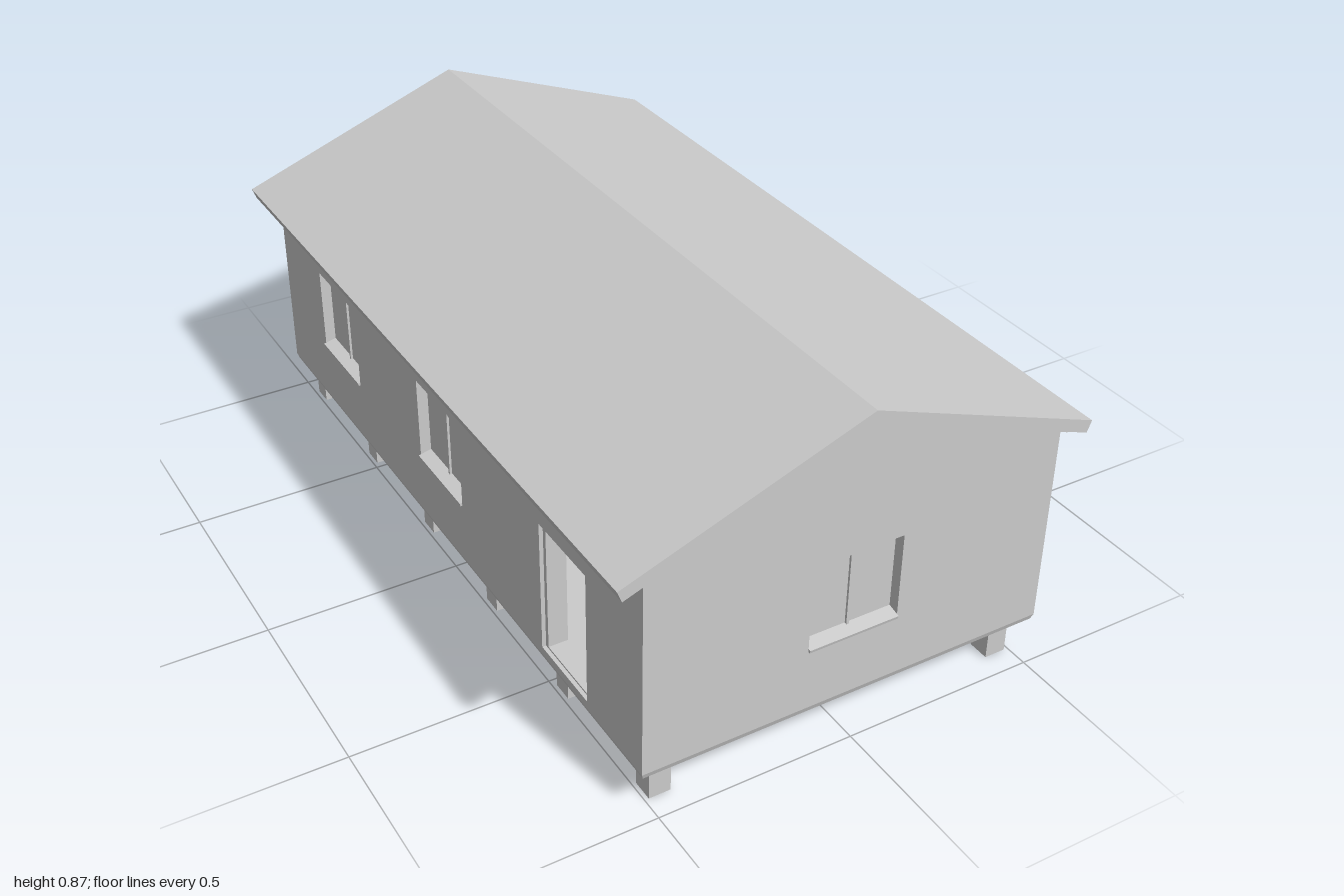
import * as THREE from 'three';

const T = 0.04;              // wall thickness
const BASE = 0.12;           // underside of the walls
const SLOPE = 0.37;          // roof pitch
const RIDGE = 0.84;          // underside of the roof at the ridge

const grey = new THREE.MeshStandardMaterial({ color: 0xcccccc, flatShading: true });

function add(parent, name, geometry, x = 0, y = 0, z = 0) {
  const mesh = new THREE.Mesh(geometry, grey);
  mesh.name = name;
  mesh.position.set(x, y, z);
  parent.add(mesh);
  return mesh;
}

const box = (w, h, d) => new THREE.BoxGeometry(w, h, d);

function polygon(points) {
  return new THREE.Shape(points.map(([x, y]) => new THREE.Vector2(x, y)));
}

function extrude(shape, depth) {
  return new THREE.ExtrudeGeometry(shape, { depth, bevelEnabled: false });
}

// Recessed panes with an optional centre bar and a sloping sill
function addWindow(parent, { u, w, y0, y1, bar }) {
  const g = new THREE.Group();
  g.name = 'window';
  g.position.set(u, (y0 + y1) / 2, 0);
  const h = y1 - y0;
  add(g, 'windowPane', box(w, h, 0.008), 0, 0, -0.032);
  if (bar) add(g, 'windowBar', box(0.007, h, 0.008), 0, 0, -0.026);
  const sill = add(g, 'windowSill', box(w, 0.008, 0.036), 0, -h / 2 + 0.003, -0.012);
  sill.rotation.x = 0.22;
  parent.add(g);
}

// Open doorway lined with two jambs, a head and a threshold
function addDoorway(parent, { u, w, y0, y1 }) {
  const g = new THREE.Group();
  g.name = 'doorway';
  g.position.set(u, 0, -0.035);
  for (const s of [-1, 1]) {
    add(g, 'doorJamb', box(0.012, y1 - y0, 0.05), s * (w / 2 - 0.006), (y0 + y1) / 2, 0);
  }
  add(g, 'doorHead', box(w - 0.024, 0.012, 0.05), 0, y1 - 0.006, 0);
  add(g, 'doorThreshold', box(w - 0.024, 0.005, 0.05), 0, y0 + 0.002, 0);
  parent.add(g);
}

// Wall drawn in its own plane, outer face at local z = 0, then turned into place
function addWall(parent, name, outline, angle, distance, openings) {
  const g = new THREE.Group();
  g.name = name;
  const shape = polygon(outline);
  for (const o of openings) {
    const a = o.u - o.w / 2, b = o.u + o.w / 2;
    shape.holes.push(polygon([[a, o.y0], [a, o.y1], [b, o.y1], [b, o.y0]]));
    if (o.door) addDoorway(g, o);
    else addWindow(g, o);
  }
  add(g, name + 'Panel', extrude(shape, T), 0, 0, -T);
  g.rotation.y = angle;
  g.position.set(Math.sin(angle) * distance, 0, Math.cos(angle) * distance);
  parent.add(g);
}

const windowAt = (u, w = 0.235, bar = true) => ({ u, w, y0: 0.285, y1: 0.505, bar });
const doorAt = (u, w) => ({ u, w, y0: 0.14, y1: 0.487, door: true });

export function createModel() {
  const house = new THREE.Group();
  house.name = 'house';

  // Two rows of foundation posts
  for (const x of [-0.462, 0.462]) {
    for (let i = 0; i < 6; i++) {
      add(house, 'post', box(0.055, 0.105, 0.055), x, 0.0525, 0.913 - i * 0.365);
    }
  }

  // Floor base with a small chamfer along its lower edge
  const base = box(1.06, 0.015, 1.96);
  const p = base.attributes.position;
  for (let i = 0; i < p.count; i++) {
    if (p.getY(i) < 0) {
      p.setX(i, p.getX(i) - Math.sign(p.getX(i)) * 0.005);
      p.setZ(i, p.getZ(i) - Math.sign(p.getZ(i)) * 0.005);
    }
  }
  base.computeVertexNormals();
  add(house, 'floorBase', base, 0, 0.1125, 0);
  add(house, 'floor', box(1.06 - 2 * T, 0.02, 1.96 - 2 * T), 0, 0.13, 0);

  // Gable walls and long side walls
  const eave = RIDGE - SLOPE * 0.53;
  const gable = [[-0.53, BASE], [0.53, BASE], [0.53, eave], [0, RIDGE], [-0.53, eave]];
  const L = 0.98 - T;
  const side = [[-L, BASE], [L, BASE], [L, eave], [-L, eave]];
  addWall(house, 'frontWall', gable, 0, 0.98, [windowAt(0)]);
  addWall(house, 'backWall', gable, Math.PI, 0.98,
    [windowAt(-0.303, 0.165, false), doorAt(0.015, 0.23)]);
  addWall(house, 'leftWall', side, Math.PI / 2, 0.53,
    [windowAt(-0.623), windowAt(-0.008), windowAt(0.61)]);
  addWall(house, 'rightWall', side, -Math.PI / 2, 0.53,
    [windowAt(-0.605), windowAt(0.012), doorAt(0.637, 0.21)]);

  // Pitched roof with square-cut eaves
  const roof = polygon([
    [0, 0.873], [-0.6, 0.651], [-0.589, 0.622], [0, RIDGE], [0.589, 0.622], [0.6, 0.651],
  ]);
  add(house, 'roof', extrude(roof, 2), 0, 0, -1);

  // Rafters under the roof, their tails showing below the eaves
  const rafter = polygon([
    [0, RIDGE], [-0.569, 0.63], [-0.563, 0.613], [0, 0.82], [0.563, 0.613], [0.569, 0.63],
  ]);
  for (const z of [0.958, 0.323, -0.321, -0.956]) {
    add(house, 'rafter', extrude(rafter, 0.02), 0, 0, z - 0.01);
  }

  return house;
}
